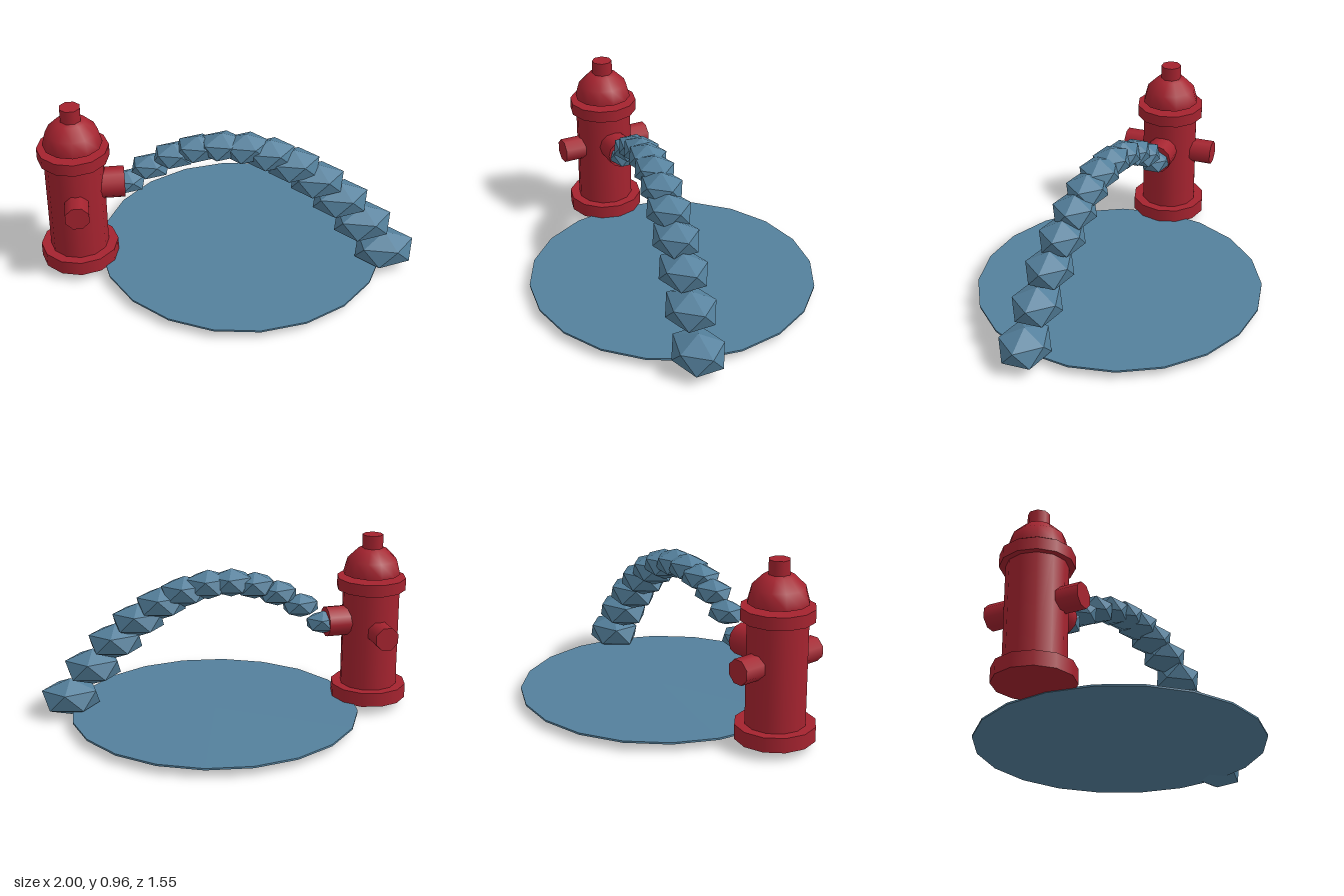
import * as THREE from 'three';

export function createModel() {
  const model = new THREE.Group();
  const red = new THREE.MeshStandardMaterial({ color: 0xa5232f });
  red.name = 'hydrant red';
  const blue = new THREE.MeshStandardMaterial({ color: 0x54809c });
  blue.name = 'water blue';
  const waterFacets = blue;

  const add = (parent, name, geometry, material, x = 0, y = 0, z = 0) => {
    const mesh = new THREE.Mesh(geometry, material);
    mesh.name = name;
    mesh.position.set(x, y, z);
    parent.add(mesh);
    return mesh;
  };

  // Hydrant: stacked twelve-sided drums
  const hydrant = new THREE.Group();
  hydrant.name = 'hydrant';
  hydrant.position.x = -0.793;
  model.add(hydrant);
  const drum = (name, r, y0, y1, sides = 12, turn = 0) => add(hydrant, name,
    new THREE.CylinderGeometry(r, r, y1 - y0, sides, 1, false, turn), red, 0, (y0 + y1) / 2);
  drum('base', 0.208, 0.045, 0.123);
  drum('body', 0.156, 0.1, 0.7);
  drum('collar', 0.188, 0.665, 0.73);
  drum('topNut', 0.056, 0.87, 0.965, 8, Math.PI / 8);

  // Domed bonnet with a closed underside, floating just above the collar
  add(hydrant, 'bonnet',
    new THREE.SphereGeometry(0.156, 12, 3, 0, Math.PI * 2, 0, Math.PI / 2), red, 0, 0.75);
  add(hydrant, 'bonnetUnderside',
    new THREE.CircleGeometry(0.156, 12).rotateX(Math.PI / 2), red, 0, 0.75);

  // Large outlet facing the water, small outlets front and back
  add(hydrant, 'mainOutlet',
    new THREE.CylinderGeometry(0.083, 0.083, 0.16, 12).rotateZ(-Math.PI / 2), red, 0.178, 0.492, 0);
  for (const side of [1, -1]) {
    const outlet = new THREE.CylinderGeometry(0.067, 0.067, 0.16, 8, 1, false, Math.PI / 8);
    add(hydrant, side > 0 ? 'frontOutlet' : 'backOutlet',
      outlet.rotateX(side * Math.PI / 2), red, 0, 0.45, side * 0.18);
  }

  // Puddle
  add(model, 'puddle', new THREE.CylinderGeometry(0.775, 0.775, 0.01, 20), blue, 0.09, 0.046, 0);

  // Water jet: an arc of stretched icosahedra, poles up, growing as they fall
  const jet = new THREE.Group();
  jet.name = 'waterJet';
  model.add(jet);
  const drop = new THREE.IcosahedronGeometry(1, 0)
    .rotateZ(-Math.atan(2 / (1 + Math.sqrt(5))));
  for (let i = 0; i < 12; i++) {
    const size = 0.063 + 0.0038 * i;
    const y = 0.49 + 0.1135 * i - 0.0135 * i * i;
    add(jet, 'waterDrop' + (i + 1), drop, waterFacets, -0.52 + 0.1235 * i, y, 0.0215 * i)
      .scale.set(size * 1.67, size, size * 1.37);
  }

  return model;
}
